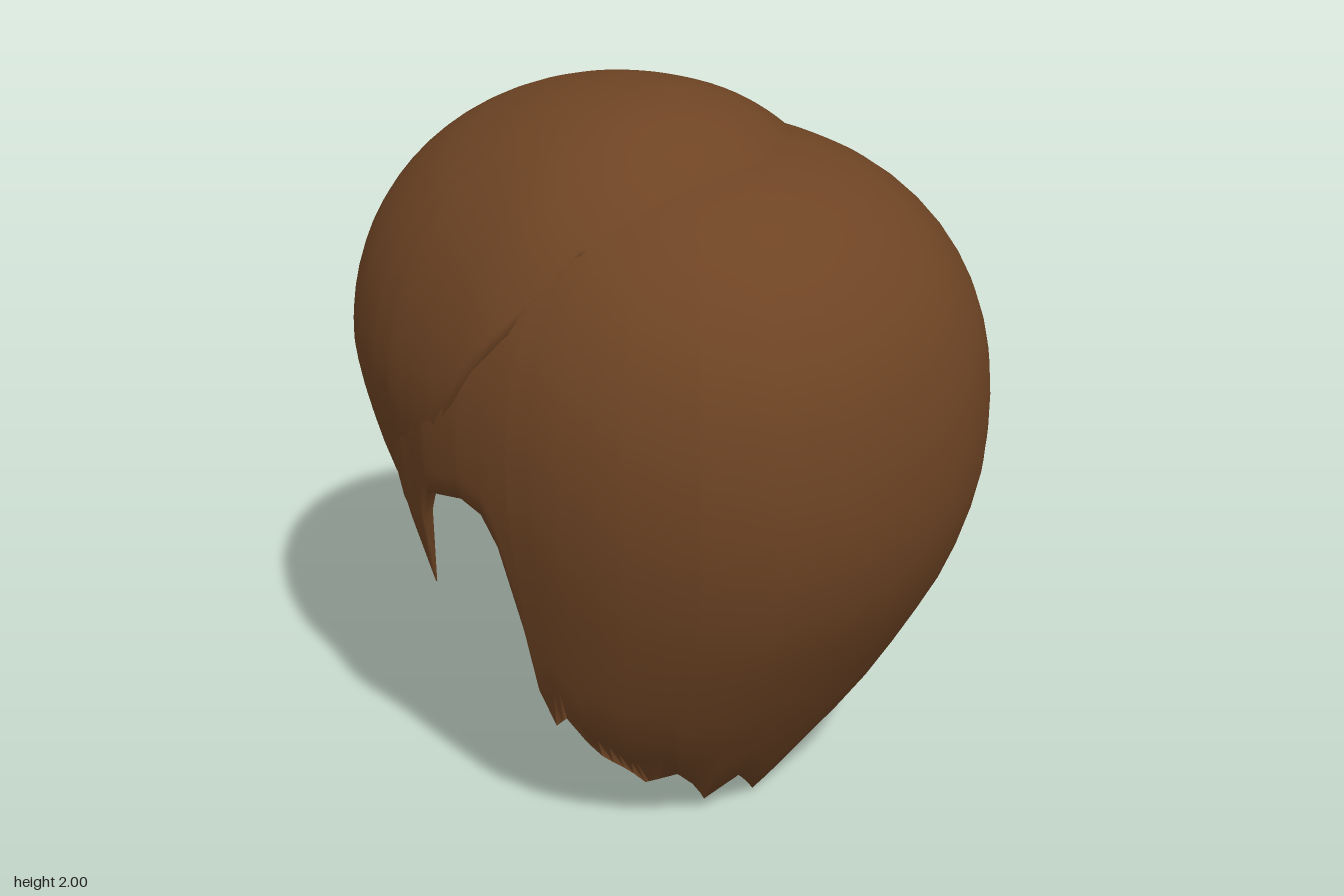
import * as THREE from 'three';
import { mergeVertices } from 'three/addons/utils/BufferGeometryUtils.js';

const hair = new THREE.MeshStandardMaterial({ color: 0x6e4424, side: THREE.DoubleSide });

// Smooth curve through [position, value] pairs
function smooth(pairs) {
  const c = new THREE.CubicInterpolant(pairs.map(p => p[0]), pairs.map(p => p[1]), 1);
  return t => c.evaluate(t)[0];
}

// Straight interpolation, keeps the lock tips pointed
function jagged(pairs) {
  return t => {
    let i = 1;
    while (i < pairs.length - 1 && pairs[i][0] < t) i++;
    const [a, b] = [pairs[i - 1], pairs[i]];
    return THREE.MathUtils.lerp(a[1], b[1], (t - a[0]) / (b[0] - a[0]));
  };
}

// Same hem heights on the other side
const mirror = half => half.map(([a, y]) => [360 - a, y]).reverse();

// Squares off a circle when e is below 1
const square = (t, e) => Math.sign(t) * Math.pow(Math.abs(t), e);

// Closed dome of hair: outer skin down to a ragged hem, then inner skin back up.
// Angles run from the nape (+z, 0) through +x (90) to the fringe (180).
function hairShell({ cx, cz, top, waist, power, right, left, back, front, round, corner, hem, liningHem, lining, taperX, taperZ }) {
  const rows = 22;
  const angles = [...new Set([...Array(73).keys()].map(i => i * 5).concat(hem.map(p => p[0])))]
    .sort((a, b) => a - b);
  const hemAt = jagged(hem), liningAt = jagged(liningHem);
  const pos = [], index = [];
  for (const deg of angles) {
    const a = THREE.MathUtils.degToRad(deg);
    const e = deg > 90 && deg < 180 ? corner : round;
    const s = square(Math.sin(a), e), c = square(Math.cos(a), e);
    for (let r = 0; r <= rows * 2 + 1; r++) {
      const outer = r <= rows;
      const v = outer ? r / rows : 2 - (r - 1) / rows;
      const y = top - (top - (outer ? hemAt(deg) : liningAt(deg))) * Math.pow(v, 1.6);
      const h = Math.max(0, (y - waist) / (top - waist));
      const dome = Math.pow(Math.max(0, 1 - Math.pow(h, power)), 1 / power);
      const kx = y < waist ? taperX(y) : dome;
      const kz = y < waist ? (c > 0 ? taperZ(y) : Math.max(taperX(y), 0.8)) : dome;
      const scale = outer ? 1 : lining;
      pos.push(
        cx + s * (s > 0 ? right : left) * kx * scale,
        1.1 + (y - 1.1) * scale,
        cz + c * (c > 0 ? back : front) * kz * scale);
    }
  }
  const n = rows * 2 + 2;
  for (let i = 0; i < angles.length - 1; i++) {
    for (let r = 0; r < n - 1; r++) {
      const p = i * n + r, q = p + n;
      index.push(p, p + 1, q, q, p + 1, q + 1);
    }
  }
  let g = new THREE.BufferGeometry();
  g.setAttribute('position', new THREE.Float32BufferAttribute(pos, 3));
  g.setIndex(index);
  g = mergeVertices(g, 1e-5);
  g.computeVertexNormals();
  return g;
}

export function createModel() {
  const group = new THREE.Group();
  const add = (name, geometry) => {
    const mesh = new THREE.Mesh(geometry, hair);
    mesh.name = name;
    group.add(mesh);
    return mesh;
  };

  // Main hair: nape locks, ear notches, sideburns, then up to the parting
  const nape = [
    [0, 0], [18, 0.13], [32, 0.04], [46, 0.2], [62, 0.13], [67, 0.21], [73, 0.26],
    [78, 0.42], [84, 0.36], [84.5, 0.5], [85, 0.7], [87.5, 0.95], [90, 1.03]];
  const rightFront = [
    [92, 1.05], [97, 1.02], [103, 0.88], [107, 0.67], [108.5, 0.66], [114, 0.88], [117.5, 0.87],
    [123, 1.05], [142, 1.2], [148, 1.35], [153, 1.47], [160, 1.58], [180, 1.64]];
  const leftFront = [
    [94, 1.05], [104, 1.01], [110, 0.88], [114.5, 0.67], [116, 0.66], [121, 0.88], [125, 0.87],
    [130, 1.05], [148, 1.25], [158, 1.47], [165, 1.58]];
  const napeLining = [
    [0, 0.1], [25, 0.13], [45, 0.22], [62, 0.33], [78, 0.55], [85, 0.8], [90, 1.05]];
  add('mainHair', hairShell({
    cx: 0, cz: 0.1, top: 1.89, waist: 1.15, power: 2.3,
    right: 0.757, left: 0.757, back: 0.812, front: 0.84, round: 0.9, corner: 0.7,
    hem: [...nape, ...rightFront, ...mirror(leftFront), ...mirror(nape)],
    liningHem: [
      ...napeLining, [97, 1.04], [108, 0.85], [123, 1.08], [142, 1.23], [153, 1.48], [180, 1.64],
      ...mirror([[104, 1.04], [116, 0.85], [130, 1.08], [148, 1.27], [158, 1.48]]),
      ...mirror(napeLining)],
    lining: 0.94,
    taperX: smooth([[0, 0.4], [0.13, 0.5], [0.25, 0.64], [0.4, 0.78], [0.7, 0.905], [1, 0.985], [1.15, 1], [1.3, 1]]),
    taperZ: smooth([[0, 0.33], [0.13, 0.43], [0.3, 0.58], [0.5, 0.73], [0.75, 0.9], [1, 0.99], [1.15, 1], [1.3, 1]]),
  }));

  // Swept fringe: overlaps the crown and falls across the face from the parting
  const fringeHem = [
    [0, 1.72], [90, 1.65], [120, 1.55], [133, 1.48], [140, 1.36], [146, 1.26], [155, 1.18],
    [170, 1.1], [185, 1.04], [200, 0.99], [208, 1], [216, 0.95], [222, 0.97], [232, 0.9],
    [243, 0.93], [252, 0.98], [260, 1.12], [275, 1.4], [300, 1.7], [360, 1.72]];
  const taper = smooth([[0.8, 0.84], [1, 0.93], [1.25, 1], [1.4, 1]]);
  add('sweptFringe', hairShell({
    cx: -0.05, cz: 0, top: 2, waist: 1.25, power: 2.05,
    right: 0.64, left: 0.7, back: 0.63, front: 0.92, round: 1, corner: 0.97,
    hem: fringeHem,
    liningHem: fringeHem.map(([a, y]) => [a, y + 0.02]),
    lining: 0.95,
    taperX: taper,
    taperZ: taper,
  }));

  // Loose pointed lock hanging inside the fringe
  const root = new THREE.Vector3(0.3, 1.5, -0.62), tip = new THREE.Vector3(0.14, 1.06, -0.8);
  const lock = add('looseLock', new THREE.ConeGeometry(0.045, root.distanceTo(tip), 8));
  lock.position.lerpVectors(root, tip, 0.5);
  lock.quaternion.setFromUnitVectors(new THREE.Vector3(0, 1, 0), tip.clone().sub(root).normalize());

  return group;
}
